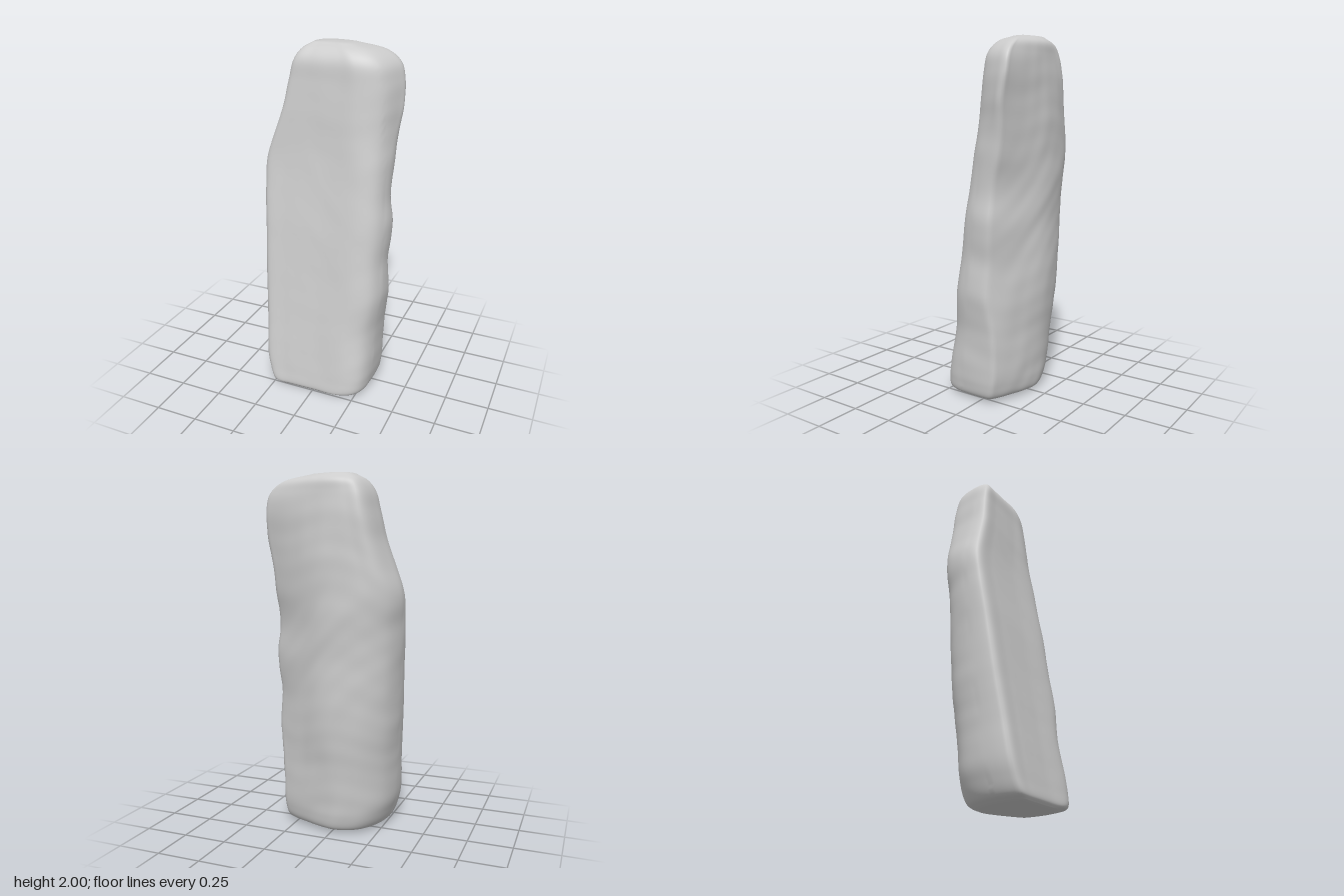
import * as THREE from 'three';

// Height rows: y, left x, right x, front z, back z,
// front-right cut (units), back-right cut (fraction of depth), back-left roundness
const ROWS = [
  [0.005, -0.22, 0.23, 0.250, -0.13, 0.09, 0.28, 1.2],
  [0.03, -0.26, 0.295, 0.265, -0.18, 0.08, 0.24, 1.2],
  [0.10, -0.29, 0.312, 0.257, -0.20, 0.075, 0.22, 1.15],
  [0.20, -0.31, 0.318, 0.243, -0.207, 0.08, 0.21, 1.1],
  [0.40, -0.32, 0.325, 0.212, -0.222, 0.095, 0.26, 1.1],
  [0.60, -0.335, 0.348, 0.182, -0.245, 0.085, 0.37, 1.1],
  [0.80, -0.345, 0.338, 0.153, -0.25, 0.085, 0.39, 1.05],
  [1.00, -0.355, 0.35, 0.125, -0.25, 0.09, 0.37, 1.05],
  [1.20, -0.365, 0.335, 0.093, -0.257, 0.085, 0.40, 1.05],
  [1.36, -0.362, 0.335, 0.070, -0.26, 0.09, 0.32, 0.9],
  [1.50, -0.32, 0.345, 0.055, -0.26, 0.115, 0.26, 0.65],
  [1.65, -0.270, 0.36, 0.042, -0.258, 0.135, 0.21, 0.5],
  [1.80, -0.237, 0.355, 0.026, -0.255, 0.135, 0.12, 0.4],
  [1.90, -0.212, 0.325, 0.016, -0.248, 0.13, 0.10, 0.45],
  [1.96, -0.175, 0.245, -0.015, -0.237, 0.10, 0.14, 0.6],
  [1.995, -0.12, 0.10, -0.06, -0.19, 0.04, 0.25, 0.9],
];
const AROUND = 120, UP = 120;

// Closed outline: flat front, sharp front-left corner, wide back-right chamfer, rounded back-left
function outline([y, xl, xr, zf, zb, cut, rc, lb]) {
  const w = xr - xl, d = zf - zb;
  const pts = [
    [xl + 0.03 * w, zf - 0.005 * d],
    [xl + 0.20 * w, zf],
    [xl + 0.50 * w, zf - 0.01 * d],
    [xr - 1.4 * cut, zf - 0.06 * cut],
    [xr - 0.5 * cut, zf - 0.5 * cut],
    [xr - 0.06 * cut, zf - 1.4 * cut],
    [xr, zb + (rc + 0.08) * d],
    [xr - 0.012 * w, zb + rc * d],
    [xr - 0.06 * w, zb + 0.84 * rc * d],
    [xr - 0.25 * w, zb + 0.4 * rc * d],
    [xr - 0.45 * w, zb + 0.02 * d],
    [xl + 0.40 * w, zb + 0.01 * d],
    [xl + 0.20 * w, zb + 0.10 * lb * d],
    [xl + 0.06 * w, zb + 0.29 * lb * d],
    [xl, zb + 0.6 * d],
    [xl + 0.004 * w, zf - 0.10 * d],
  ].map(([x, z]) => new THREE.Vector3(x, y, z));
  return new THREE.CatmullRomCurve3(pts, true, 'centripetal').getSpacedPoints(AROUND).slice(0, AROUND);
}

// Irregular weathering bumps, weakest on the flat front
function weather(p, cx, cz) {
  const { x, y, z } = p;
  const u = x + 0.12 * Math.sin(5 * y + 1), v = y + 0.1 * Math.sin(7 * x + 3 * z);
  const n = Math.sin(7 * u + 9 * v) * Math.sin(8 * z - 6 * v)
    + 0.5 * Math.sin(19 * v + 2) * Math.sin(15 * u + 9 * z)
    + 0.35 * Math.sin(34 * v + 11 * u) * Math.sin(27 * u - 9 * v);
  const amount = z > cz + 0.08 ? 0.001 : 0.003;
  const dir = new THREE.Vector3(x - cx, 0, z - cz).normalize();
  return p.addScaledVector(dir, n * amount);
}

function stoneGeometry() {
  const rowAt = new THREE.CubicInterpolant(ROWS.map((_, i) => i), ROWS.flat(), ROWS[0].length);
  const rings = [];
  for (let j = 0; j <= UP; j++) {
    const row = Array.from(rowAt.evaluate((j / UP) * (ROWS.length - 1)));
    const cx = (row[1] + row[2]) / 2, cz = (row[3] + row[4]) / 2;
    rings.push(outline(row).map((p) => weather(p, cx, cz)));
  }

  // Shrinking rings close the flat base and the slightly domed crown
  const shrink = (ring, s, y) => {
    const c = ring.reduce((a, p) => a.add(p), new THREE.Vector3()).divideScalar(AROUND);
    return ring.map((p) => p.clone().lerp(c, s).setY(y));
  };
  const first = rings[0], last = rings[UP];
  rings.unshift(shrink(first, 1, 0), shrink(first, 0.5, 0), shrink(first, 0.1, 0.001));
  rings.push(shrink(last, 0.3, 1.998), shrink(last, 1, 2));

  const index = [];
  for (let j = 0; j < rings.length - 1; j++) {
    for (let i = 0; i < AROUND; i++) {
      const a = j * AROUND + i, b = j * AROUND + (i + 1) % AROUND;
      index.push(a, b, b + AROUND, a, b + AROUND, a + AROUND);
    }
  }
  const geo = new THREE.BufferGeometry().setFromPoints(rings.flat());
  geo.setIndex(index);
  geo.computeVertexNormals();
  return geo;
}

export function createModel() {
  const group = new THREE.Group();
  group.name = 'standingStone';
  const stone = new THREE.Mesh(stoneGeometry(), new THREE.MeshStandardMaterial({ color: 0xcccccc }));
  stone.name = 'stone';
  group.add(stone);
  return group;
}
